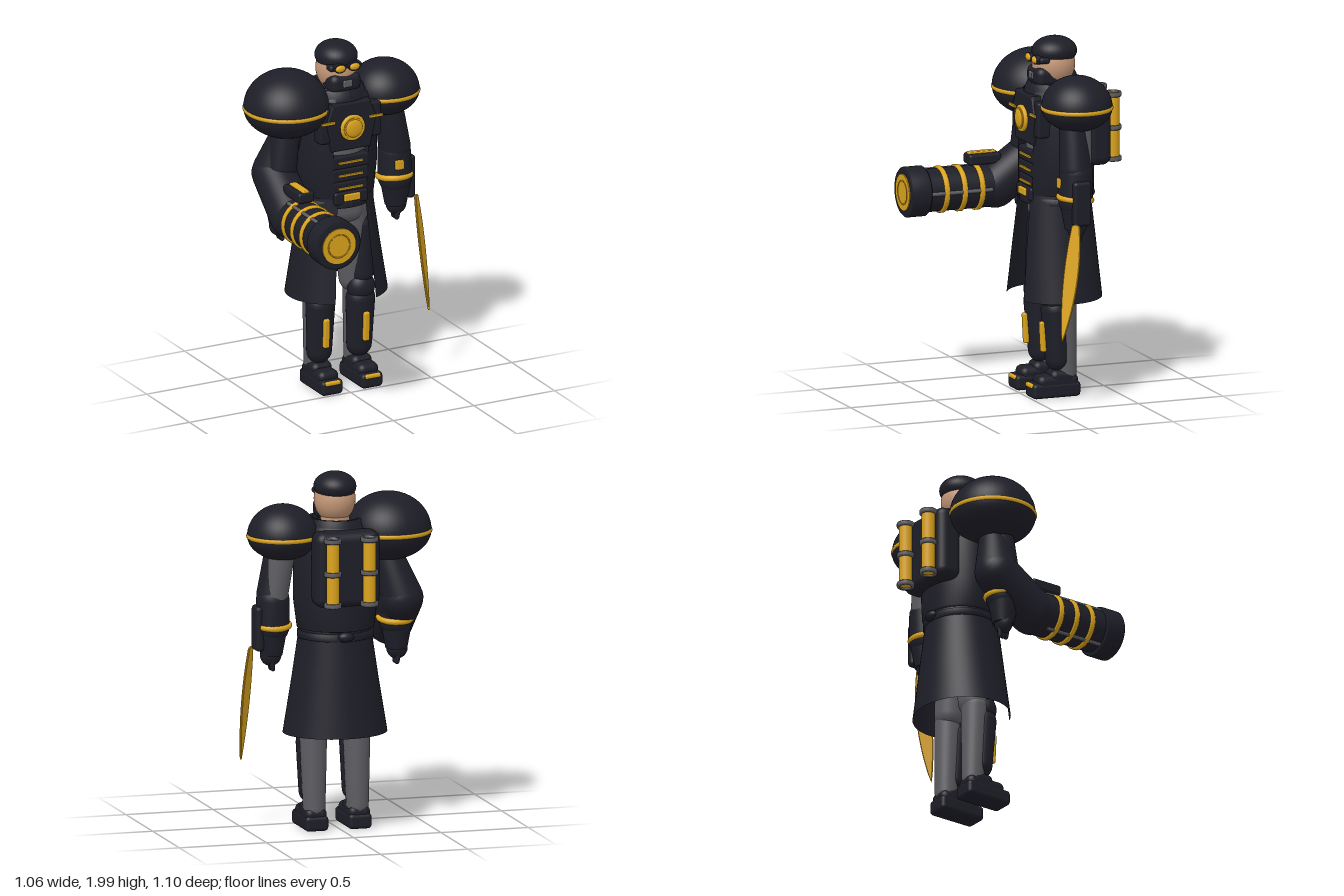
import * as THREE from 'three';
import { RoundedBoxGeometry } from 'three/addons/geometries/RoundedBoxGeometry.js';

const mat = (name, color, side = THREE.FrontSide) => {
  const m = new THREE.MeshStandardMaterial({ color, side });
  m.name = name;
  return m;
};

export function createModel() {
  const dark = mat('dark cloth and armour', 0x1e1e28, THREE.DoubleSide);
  const gold = mat('gold trim', 0xdca41c);
  const grey = mat('grey cloth and steel', 0x5d5d62);
  const skin = mat('skin', 0xc69878);

  const model = new THREE.Group();
  const body = new THREE.Group();
  body.name = 'figure';
  body.position.x = 0.016;
  model.add(body);

  const add = (name, geo, m, x = 0, y = 0, z = 0, parent = body) => {
    const mesh = new THREE.Mesh(geo, m);
    mesh.name = name;
    mesh.position.set(x, y, z);
    parent.add(mesh);
    return mesh;
  };
  const box = (w, h, d, r = 0.015) => new RoundedBoxGeometry(w, h, d, 3, Math.min(r, w / 2.1, h / 2.1, d / 2.1));
  const ball = (rx, ry, rz) => new THREE.SphereGeometry(1, 32, 20).scale(rx, ry, rz);
  const disc = (r, h, r2 = r) => new THREE.CylinderGeometry(r, r2, h, 32);
  const discZ = (r, h) => disc(r, h).rotateX(Math.PI / 2);
  const lathe = pts => new THREE.LatheGeometry(pts.map(p => new THREE.Vector2(...p)), 40);

  // Tapered rod between two points, with round ends
  const limb = (name, a, b, ra, rb, m, parent = body) => {
    const A = new THREE.Vector3(...a), B = new THREE.Vector3(...b);
    const dir = B.clone().sub(A), len = dir.length();
    const pts = [];
    for (let i = 0; i <= 6; i++) {
      const t = (-Math.PI / 2) * (1 - i / 6);
      pts.push([ra * Math.cos(t), ra * Math.sin(t)]);
    }
    for (let i = 0; i <= 6; i++) {
      const t = (Math.PI / 2) * (i / 6);
      pts.push([rb * Math.cos(t), len + rb * Math.sin(t)]);
    }
    const mesh = add(name, lathe(pts), m, ...a, parent);
    mesh.quaternion.setFromUnitVectors(new THREE.Vector3(0, 1, 0), dir.normalize());
    return mesh;
  };

  // Oval shell through rows of [y, rx, rz], with a gap at the front
  const shell = (rows, gap = 0) => {
    const g = new THREE.LatheGeometry(rows.map(([y, rx]) => new THREE.Vector2(rx, y)), 48, gap, Math.PI * 2 - 2 * gap);
    const p = g.attributes.position;
    for (let i = 0; i < p.count; i++) {
      const [, rx, rz] = rows[i % rows.length];
      p.setZ(i, p.getZ(i) * rz / rx);
    }
    g.computeVertexNormals();
    return g;
  };
  const CZ = -0.21;

  // Coat, shirt and hips
  add('coatSkirt', shell([[0.55, 0.29, 0.258], [0.85, 0.24, 0.228], [1.15, 0.195, 0.195]], 0.45), dark, 0, 0, -0.2);
  add('jacket', shell([[1.135, 0.19, 0.19], [1.14, 0.214, 0.206], [1.3, 0.236, 0.203], [1.52, 0.235, 0.2], [1.63, 0.21, 0.195], [1.71, 0.175, 0.18], [1.73, 0.1, 0.11]], 0.47), dark, 0, 0, CZ);
  add('shirt', shell([[1.08, 0.15, 0.15], [1.3, 0.16, 0.165], [1.6, 0.17, 0.17], [1.7, 0.1, 0.1]]), grey, 0, 0, CZ);
  add('hips', box(0.27, 0.2, 0.26, 0.08), grey, 0, 1.05, -0.2);
  add('belt', shell([[1.08, 0.19, 0.19], [1.085, 0.213, 0.2], [1.12, 0.213, 0.2], [1.125, 0.19, 0.19]]), dark, 0, 0, CZ);
  add('beltPouch', ball(0.045, 0.028, 0.03), dark, 0, 1.11, -0.405);
  add('collar', shell([[1.64, 0.19, 0.185], [1.7, 0.17, 0.178], [1.75, 0.15, 0.16], [1.75, 0.125, 0.135], [1.69, 0.1, 0.11]]), dark, 0, 0, -0.21);

  // Chest plate with a round boss
  const plate = new THREE.Shape([[-0.11, 1.43], [0.11, 1.43], [0.145, 1.59], [0.11, 1.685], [-0.11, 1.685], [-0.145, 1.59]].map(p => new THREE.Vector2(...p)));
  add('chestPlate', new THREE.ExtrudeGeometry(plate, { depth: 0.12, bevelSize: 0.01, bevelThickness: 0.015, bevelSegments: 3 }), dark, 0, 0, -0.15);
  add('chestBoss', discZ(0.06, 0.04), gold, 0, 1.553, -0.008);
  add('chestBossRim', new THREE.TorusGeometry(0.063, 0.013, 10, 32), gold, 0, 1.553, -0.005);
  add('chestBossDome', ball(0.052, 0.052, 0.014), gold, 0, 1.553, 0.01);
  for (const s of [-1, 1]) {
    add('chestShoulderPlate', box(0.07, 0.2, 0.1), dark, s * 0.155, 1.57, -0.075);
    add('chestStripe', box(0.085, 0.016, 0.014, 0.004), gold, s * 0.148, 1.595, -0.012);
  }

  // Segmented belly plate and buckle
  for (let i = 0; i < 3; i++) {
    const y = 1.345 - i * 0.075;
    add('bellySegment', box(0.234 - i * 0.008, 0.078, 0.1), dark, 0, y, -0.08);
    add('bellyStripe', box(0.15, 0.013, 0.014, 0.004), gold, 0, y, -0.026);
  }
  add('buckleBase', box(0.21, 0.075, 0.08), dark, 0, 1.14, -0.055);
  add('buckle', box(0.1, 0.042, 0.02, 0.007), gold, 0, 1.145, -0.013);

  // Head, cap, goggles and mask
  add('neck', disc(0.08, 0.16), skin, 0, 1.75, -0.2);
  add('head', ball(0.115, 0.13, 0.12), skin, 0, 1.845, -0.195);
  add('cap', ball(0.117, 0.082, 0.126), dark, 0, 1.918, -0.2);
  add('goggleBand', box(0.2, 0.035, 0.06), dark, 0, 1.882, -0.108);
  for (const s of [-1, 1]) {
    add('goggleRim', discZ(0.036, 0.03).scale(1, 0.7, 1), dark, s * 0.044, 1.882, -0.08);
    add('goggleLens', ball(0.031, 0.021, 0.016), gold, s * 0.044, 1.883, -0.066);
  }
  add('mask', box(0.19, 0.11, 0.14, 0.04), dark, 0, 1.785, -0.135);
  add('maskFilter', box(0.055, 0.04, 0.02, 0.006), grey, 0, 1.79, -0.065);

  // Domed shoulders with a band
  for (const [s, r, top, low] of [[-1, 0.238, 0.212, 0.165], [1, 0.196, 0.175, 0.135]]) {
    const g = new THREE.SphereGeometry(1, 40, 28);
    const p = g.attributes.position;
    for (let i = 0; i < p.count; i++) {
      const y = p.getY(i);
      p.setXYZ(i, p.getX(i) * r, y * (y > 0 ? top : low), p.getZ(i) * r);
    }
    g.computeVertexNormals();
    add('shoulderDome', g, dark, s * 0.302, 1.66, CZ);
    add('shoulderBand', new THREE.TorusGeometry(r - 0.011, 0.016, 10, 56).rotateX(Math.PI / 2), gold, s * 0.302, 1.658, CZ);
  }

  // Arms and legs, mirrored
  for (const s of [-1, 1]) {
    const arm = new THREE.Group();
    arm.name = s < 0 ? 'rightArm' : 'leftArm';
    body.add(arm);
    limb('upperSleeve', [s * 0.305, 1.6, -0.215], [s * 0.345, 1.32, -0.205], 0.075, 0.07, grey, arm);
    limb('upperArmGuard', [s * 0.32, 1.55, -0.18], [s * 0.352, 1.33, -0.18], 0.078, 0.088, dark, arm);
    limb('forearm', [s * 0.352, 1.3, -0.185], [s * 0.354, 1.15, -0.18], 0.092, 0.095, dark, arm);
    add('glove', disc(0.09, 0.16, 0.06), dark, s * 0.358, 1.07, -0.18, arm);
    add('cuff', new THREE.TorusGeometry(0.088, 0.018, 10, 36).rotateX(Math.PI / 2 - 0.12), gold, s * 0.35, 1.16, -0.18, arm);
    add('hand', ball(0.06, 0.06, 0.045), dark, s * 0.362, 0.99, -0.18, arm);
    for (let i = 0; i < 3; i++)
      limb('finger', [s * 0.362, 0.97, -0.16 - i * 0.02], [s * 0.356, 0.915, -0.16 - i * 0.02], 0.019, 0.013, dark, arm);

    const leg = new THREE.Group();
    leg.name = s < 0 ? 'rightLeg' : 'leftLeg';
    body.add(leg);
    const x = s * 0.124;
    limb('thigh', [s * 0.075, 1.02, -0.19], [s * 0.11, 0.6, -0.2], 0.1, 0.085, grey, leg);
    limb('shin', [x, 0.56, -0.2], [x, 0.13, -0.215], 0.076, 0.062, grey, leg);
    limb('thighGuard', [s * 0.135, 0.92, -0.16], [s * 0.13, 0.64, -0.155], 0.065, 0.07, dark, leg);
    add('kneeGuard', ball(0.08, 0.085, 0.07), dark, x, 0.56, -0.145, leg);
    limb('shinGuard', [x, 0.49, -0.15], [x, 0.22, -0.165], 0.083, 0.072, dark, leg).scale.z = 0.9;
    add('shinStripe', box(0.036, 0.17, 0.03, 0.01), gold, x, 0.345, -0.08, leg).rotation.x = 0.05;
    add('bootSole', box(0.132, 0.085, 0.283, 0.022), dark, x, 0.05, -0.142, leg);
    add('bootUpper', box(0.126, 0.1, 0.24, 0.035), dark, x, 0.085, -0.155, leg);
    add('bootAnkle', box(0.126, 0.09, 0.14, 0.035), dark, x, 0.115, -0.18, leg);
    add('toeStripe', box(0.095, 0.022, 0.03, 0.008), gold, x, 0.078, -0.01, leg);
  }

  // Left gauntlet and blade
  add('gauntletBox', box(0.05, 0.25, 0.105, 0.02), dark, 0.436, 1.145, -0.183);
  add('gauntletPlate', box(0.048, 0.055, 0.03, 0.006), gold, 0.337, 1.247, -0.098);
  const blade = new THREE.Shape();
  blade.moveTo(-0.02, 0);
  blade.quadraticCurveTo(-0.055, -0.32, 0, -0.64);
  blade.quadraticCurveTo(0.08, -0.3, 0.02, 0);
  blade.quadraticCurveTo(0, 0.015, -0.02, 0);
  add('blade', new THREE.ExtrudeGeometry(blade, { depth: 0.006, bevelSize: 0.004, bevelThickness: 0.003, bevelSegments: 1, curveSegments: 16 })
    .rotateY(Math.PI / 4).rotateX(-0.145).rotateZ(0.045), gold, 0.462, 1.025, -0.14);

  // Arm cannon pointing forward, with a heavy sleeve
  const gun = new THREE.Group();
  gun.name = 'armCannon';
  gun.position.set(-0.376, 1.105, 0);
  body.add(gun);
  limb('cannonUpperSleeve', [0.07, 0.4, -0.205], [0.01, 0.2, -0.235], 0.085, 0.115, dark, gun);
  limb('cannonSleeve', [0.005, 0.175, -0.235], [0, 0, 0], 0.12, 0.128, dark, gun);
  add('barrel', discZ(0.12, 0.44), dark, 0, 0, 0.22, gun);
  add('muzzle', lathe([[0, 0.42], [0.13, 0.42], [0.14, 0.43], [0.14, 0.53], [0.13, 0.54], [0, 0.54]]).rotateX(Math.PI / 2), dark, 0, 0, 0, gun);
  add('muzzleFace', discZ(0.102, 0.02), gold, 0, 0, 0.536, gun);
  add('muzzleRing', new THREE.TorusGeometry(0.066, 0.004, 8, 36), gold, 0, 0, 0.545, gun);
  for (const z of [0.118, 0.222, 0.328])
    add('barrelRing', lathe([[0.115, -0.015], [0.126, -0.015], [0.13, -0.01], [0.13, 0.01], [0.126, 0.015], [0.115, 0.015]]).rotateX(Math.PI / 2), gold, 0, 0, z, gun);
  for (let i = 0; i < 3; i++) {
    const a = i * Math.PI * 2 / 3;
    add('barrelRod', discZ(0.011, 0.36), grey, Math.cos(a) * 0.118, Math.sin(a) * 0.118, 0.24, gun);
  }
  add('sightBase', box(0.1, 0.06, 0.19), dark, 0, 0.156, 0.073, gun);
  add('sightPlate', box(0.042, 0.02, 0.16, 0.006), gold, 0, 0.187, 0.08, gun);

  // Backpack with two canisters
  add('backpack', box(0.37, 0.42, 0.15, 0.05), dark, 0, 1.495, -0.4);
  for (const s of [-1, 1]) {
    const x = s * 0.105, z = -0.503;
    add('canister', disc(0.036, 0.365), gold, x, 1.49, z);
    for (const y of [1.31, 1.485, 1.67])
      add('canisterRing', lathe([[0.033, -0.013], [0.046, -0.013], [0.049, -0.008], [0.049, 0.008], [0.046, 0.013], [0.033, 0.013], [0.033, -0.013]]), grey, x, y, z);
  }
  return model;
}
